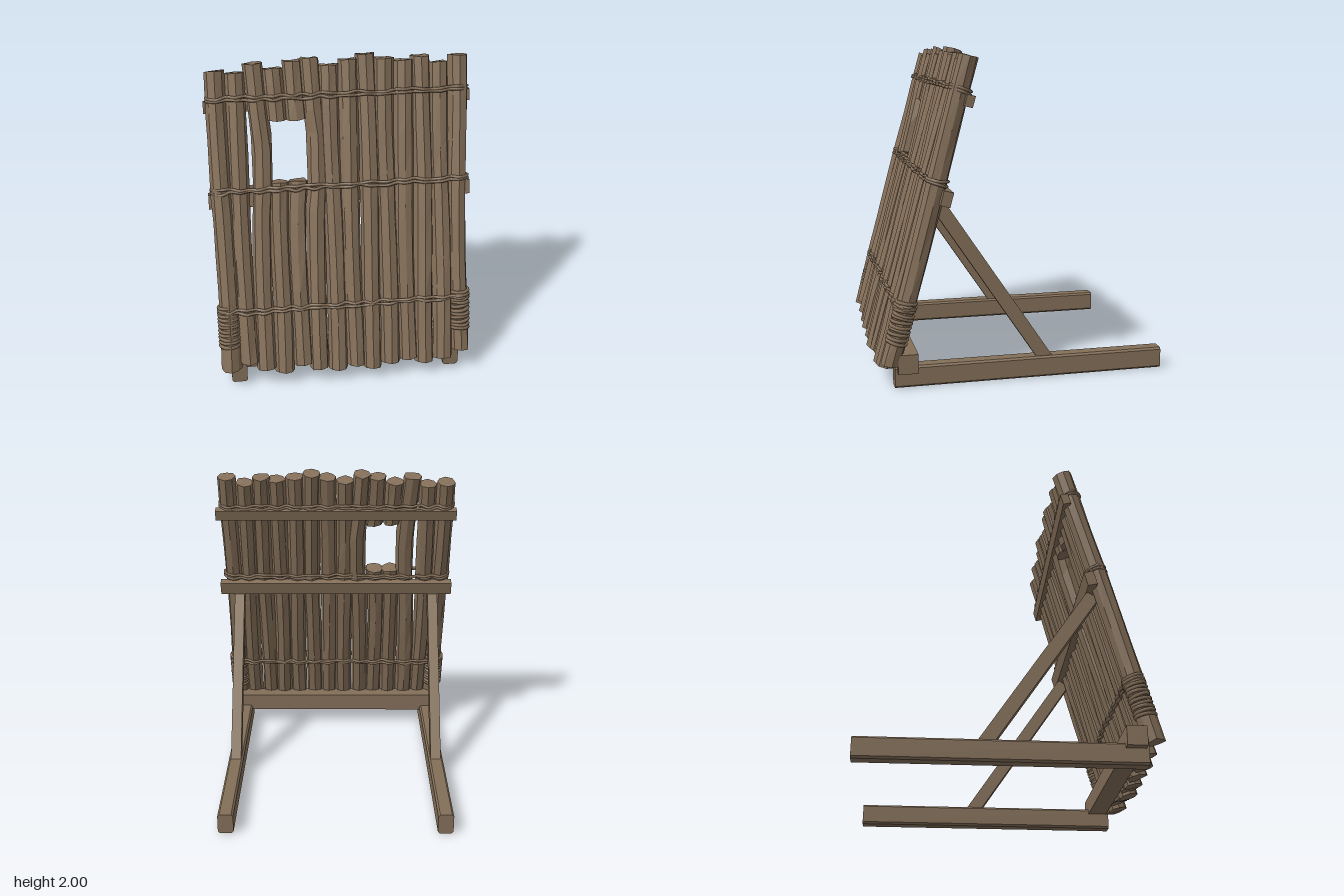
import * as THREE from 'three';

const TILT = 0.262, N = 14, STEP = 0.1115, X0 = -0.728, R = 0.06;
const wood = new THREE.MeshStandardMaterial({ color: 0x846f59 });
wood.name = 'weathered wood';

// repeatable pseudo-random value in 0..1
const hash = (a, b = 0, c = 0) => {
  const s = Math.sin(a * 12.99 + b * 78.23 + c * 37.72 + 1.3) * 43758.55;
  return s - Math.floor(s);
};
const logX = i => X0 + i * STEP;
// height above ground -> distance along the leaning wall, for a point dz off its middle plane
const along = (y, dz = 0) => (y - 0.1 - dz * Math.sin(TILT)) / Math.cos(TILT);

function add(parent, name, geo, flat = false) {
  if (flat) {
    geo = geo.toNonIndexed();
    geo.computeVertexNormals();
  }
  const mesh = new THREE.Mesh(geo, wood);
  mesh.name = name;
  parent.add(mesh);
  return mesh;
}

// rough faceted log from t0 to t1 along the wall
function logGeometry(i, t0, t1) {
  const sides = 8, rings = Math.max(2, Math.round((t1 - t0) / 0.24));
  const geo = new THREE.CylinderGeometry(1, 1, t1 - t0, sides, rings);
  geo.translate(0, (t0 + t1) / 2, 0);
  const p = geo.attributes.position;
  for (let k = 0; k < p.count; k++) {
    const x = p.getX(k), y = p.getY(k), z = p.getZ(k);
    const side = (Math.round(Math.atan2(z, x) / (2 * Math.PI) * sides) + sides) % sides;
    const ring = Math.round((y - t0) / (t1 - t0) * rings);
    const r = R * (0.9 + 0.12 * hash(side, i) + 0.1 * hash(side, ring, i));
    const inner = ring > 0 && ring < rings;
    const slide = inner ? (hash(side, ring, i + 50) - 0.5) * 0.14 : (hash(side, ring, i + 9) - 0.5) * 0.012;
    // logs around the window sway sideways a little
    const sway = i > 1 && i < 6 ? 0.028 * Math.exp(-(((y - 1.4) / 0.32) ** 2)) : 0;
    const bend = 0.006 * Math.sin(y * 3 + i * 2.1);
    p.setXYZ(k, logX(i) + x * r + sway + bend, y + (Math.hypot(x, z) > 0.1 ? slide : 0),
      z * r + 0.006 * Math.sin(y * 2.3 + i * 1.7));
  }
  return geo;
}

// closed rope weaving over the bumps of all logs
function ropeGeometry(t, seed) {
  const pts = [];
  const jitter = k => t + (hash(k, seed) - 0.5) * 0.016;
  for (let k = 0; k <= 2 * (N - 1); k++)
    pts.push(new THREE.Vector3(X0 + k * STEP / 2, jitter(k), k % 2 ? 0.05 : 0.065));
  pts.push(new THREE.Vector3(logX(N - 1) + 0.063, t, 0));
  for (let k = 2 * (N - 1); k >= 0; k--)
    pts.push(new THREE.Vector3(X0 + k * STEP / 2, jitter(k + 40), k % 2 ? -0.05 : -0.065));
  pts.push(new THREE.Vector3(X0 - 0.063, t, 0));
  return new THREE.TubeGeometry(new THREE.CatmullRomCurve3(pts, true), 170, 0.0095, 6, true);
}

// beam with chamfered long edges, running along z
function beamGeometry(w, h, len, c) {
  const a = w / 2, b = h / 2;
  const s = new THREE.Shape([[-a + c, -b], [a - c, -b], [a, -b + c], [a, b - c],
    [a - c, b], [-a + c, b], [-a, b - c], [-a, -b + c]].map(q => new THREE.Vector2(...q)));
  return new THREE.ExtrudeGeometry(s, { depth: len, bevelEnabled: false }).translate(0, 0, -len / 2);
}

export function createModel() {
  const model = new THREE.Group();
  model.name = 'leaningLogShield';
  const wall = new THREE.Group();
  wall.name = 'logWall';
  wall.position.set(0, 0.1, 0.83);
  wall.rotation.x = -TILT;
  model.add(wall);

  // logs, two of them cut for the window
  const tops = [1.94, 1.925, 1.975, 1.94, 1.98, 1.99, 1.95, 1.975, 2.0, 1.975, 1.955, 1.975, 1.935, 1.97];
  const bottoms = [0.115, 0.15, 0.105, 0.075, 0.12, 0.085, 0.065, 0.085, 0.065, 0.085, 0.1, 0.075, 0.09, 0.135];
  for (let i = 0; i < N; i++) {
    const t0 = along(bottoms[i], -R), t1 = along(tops[i], R);
    if (i === 3 || i === 4) {
      add(wall, 'lowerWindowLog', logGeometry(i, t0, along(1.275, 0.03)), true);
      add(wall, 'upperWindowLog', logGeometry(i, along(1.625, 0), t1), true);
    } else add(wall, 'log', logGeometry(i, t0, t1), true);
  }

  // three double rope bindings
  [1.78, 1.248, 0.515].forEach((y, k) => {
    for (const s of [-1, 1]) add(wall, 'rope', ropeGeometry(along(y, 0.065) + s * 0.009, k * 2 + s + 3));
  });

  // rope coils around the feet of the outer logs
  for (const i of [0, N - 1])
    for (let k = 0; k < 11; k++) {
      const coil = add(wall, 'ropeCoil', new THREE.TorusGeometry(0.06, 0.011, 6, 18));
      coil.position.set(logX(i), along(0.29 + k * 0.0235), 0);
      coil.rotation.set(Math.PI / 2 + (hash(k, i) - 0.5) * 0.2, (hash(k, i, 4) - 0.5) * 0.22, 0);
    }

  // crossbars behind the logs
  for (const [y, z, h, d] of [[1.70, -0.053, 0.07, 0.05], [1.14, -0.066, 0.09, 0.06]])
    add(wall, 'crossbar', new THREE.BoxGeometry(1.615, h, d)).position.set(0, along(y, z), z);

  // base beam between the ground rails
  add(model, 'baseBeam', new THREE.BoxGeometry(1.55, 0.118, 0.12)).position.set(-0.005, 0.156, 0.715);

  // ground rails and diagonal struts
  const foot = new THREE.Vector3(0, 0.1, -0.15), head = new THREE.Vector3(0, 1.075, 0.508);
  const dir = head.clone().sub(foot);
  for (const s of [-1, 1]) {
    add(model, s > 0 ? 'leftRail' : 'rightRail', beamGeometry(0.097, 0.13, 1.675, 0.012), true)
      .position.set(s * 0.679, 0.065, -0.0475);
    const strut = add(model, s > 0 ? 'leftStrut' : 'rightStrut', new THREE.BoxGeometry(0.068, dir.length(), 0.083));
    strut.position.copy(foot).add(head).multiplyScalar(0.5).setX(s * 0.678);
    strut.rotation.x = Math.atan2(dir.z, dir.y);
  }
  return model;
}
